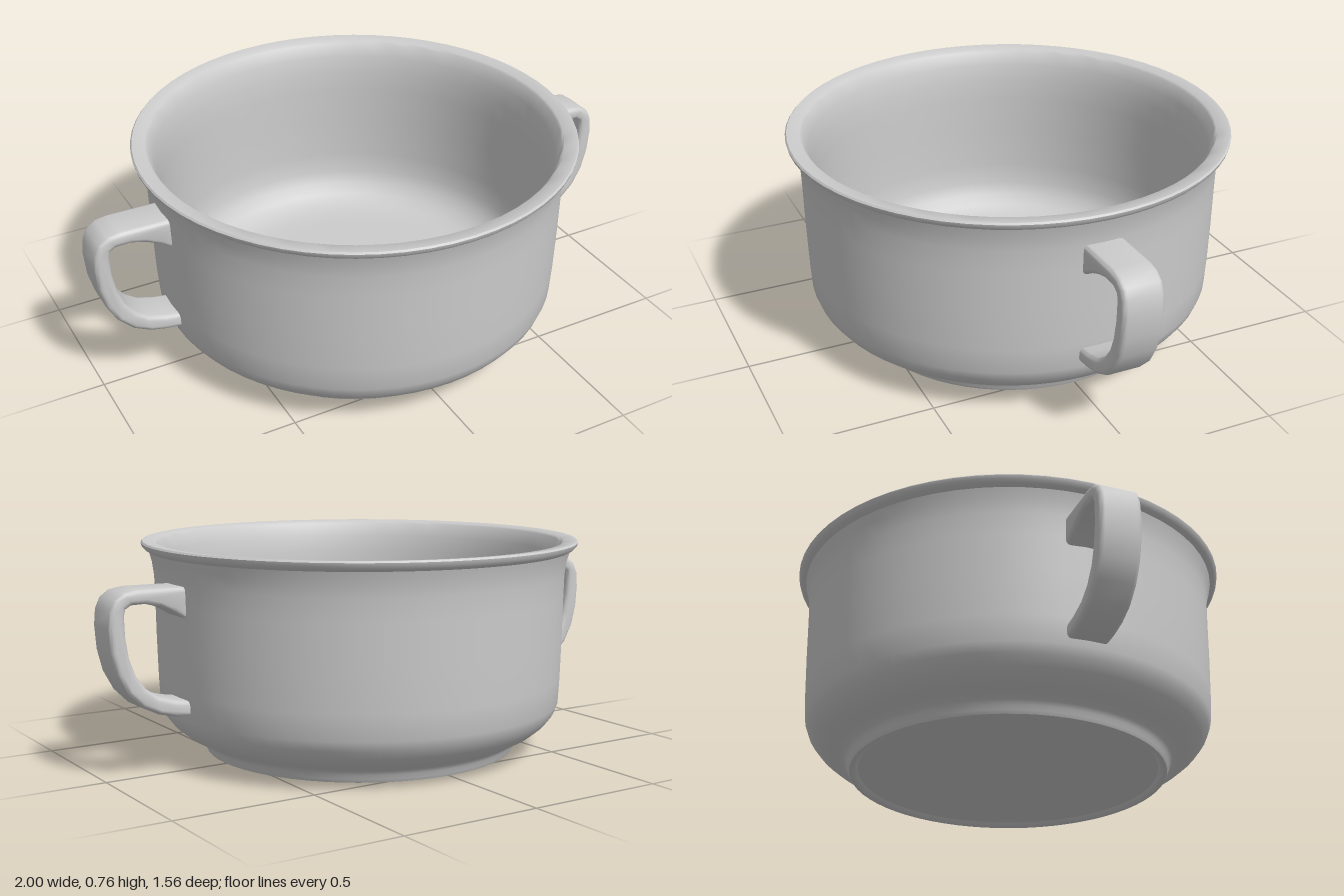
import * as THREE from 'three';
import { toCreasedNormals } from 'three/addons/utils/BufferGeometryUtils.js';

const grey = new THREE.MeshStandardMaterial({ color: 0xcccccc });
const vectors = (pairs) => pairs.map(([x, y]) => new THREE.Vector2(x, y));

function part(name, geometry, crease) {
  const mesh = new THREE.Mesh(toCreasedNormals(geometry, crease), grey);
  mesh.name = name;
  return mesh;
}

// Turned bowl: underside, foot, belly, flared rim, then down the inside
function bowl() {
  const profile = vectors([
    [0, 0.02], [0.5, 0.02], [0.53, 0.015], [0.54, 0.003], [0.55, 0],
    [0.56, 0.003], [0.566, 0.015], [0.57, 0.03], [0.58, 0.045],
    [0.61, 0.06], [0.65, 0.083], [0.685, 0.112], [0.71, 0.145], [0.723, 0.18],
    [0.728, 0.27], [0.732, 0.42], [0.734, 0.56], [0.736, 0.64], [0.743, 0.69],
    [0.753, 0.725], [0.768, 0.733], [0.777, 0.743], [0.78, 0.755], [0.775, 0.761],
    [0.73, 0.757], [0.722, 0.75], [0.705, 0.7], [0.694, 0.64], [0.69, 0.56],
    [0.688, 0.42], [0.684, 0.27], [0.678, 0.19], [0.66, 0.145], [0.63, 0.11],
    [0.59, 0.085], [0.54, 0.073], [0.48, 0.07], [0, 0.07],
  ]);
  return part('bowl', new THREE.LatheGeometry(profile, 64), 0.7);
}

// Ear-shaped handle cut from a flat outline and rounded along its edges
function handle(name) {
  const outer = vectors([
    [0.9, 0.642], [0.945, 0.635], [0.978, 0.612], [0.995, 0.575], [1, 0.52],
    [0.994, 0.44], [0.975, 0.365], [0.94, 0.3], [0.89, 0.25], [0.83, 0.22],
    [0.77, 0.206], [0.7, 0.199],
  ]);
  const inner = vectors([
    [0.7, 0.25], [0.77, 0.262], [0.83, 0.28], [0.875, 0.312], [0.91, 0.36],
    [0.932, 0.42], [0.943, 0.49], [0.945, 0.56], [0.94, 0.58], [0.92, 0.592],
    [0.87, 0.593], [0.82, 0.58], [0.77, 0.558], [0.7, 0.515],
  ]);
  const shape = new THREE.Shape([new THREE.Vector2(0.7, 0.639), ...outer, ...inner]);
  const bevel = 0.016, width = 0.144;
  const geometry = new THREE.ExtrudeGeometry(shape, {
    depth: width - 2 * bevel,
    bevelThickness: bevel,
    bevelSize: bevel,
    bevelOffset: -bevel,
    bevelSegments: 3,
  });
  geometry.translate(0, 0, bevel - width / 2);
  return part(name, geometry, 0.6);
}

export function createModel() {
  const group = new THREE.Group();
  group.name = 'handledBowl';
  const right = handle('rightHandle');
  right.rotation.y = Math.PI;
  group.add(bowl(), handle('leftHandle'), right);
  return group;
}
